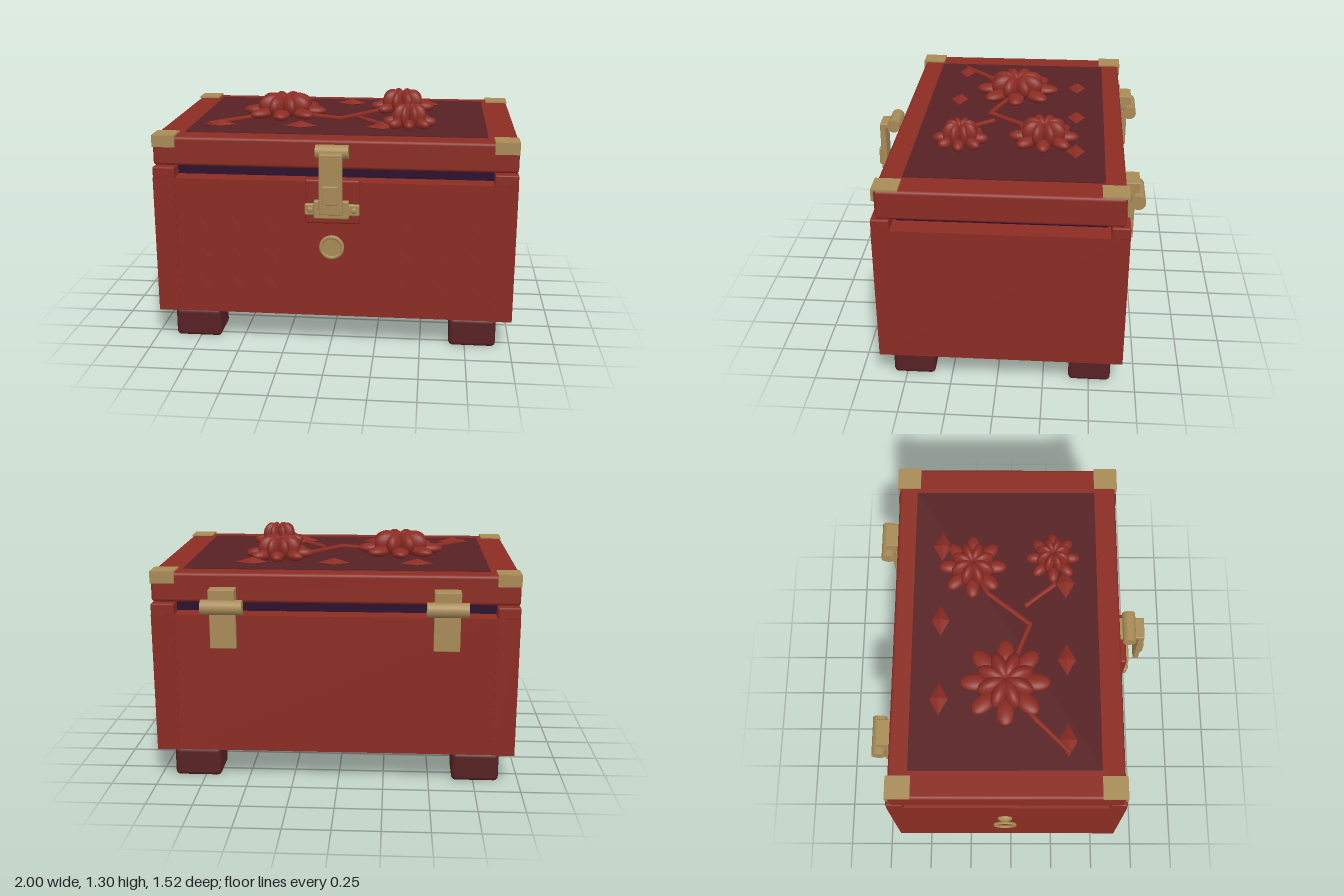
import * as THREE from 'three';
import { RoundedBoxGeometry } from 'three/addons/geometries/RoundedBoxGeometry.js';

const material = (name, color) => {
  const m = new THREE.MeshStandardMaterial({ color });
  m.name = name;
  return m;
};

export function createModel() {
  const red = material('red lacquer', 0x8b2c23);
  const dark = material('dark wood', 0x572124);
  const brass = material('brass', 0xa88b57);
  const lining = material('purple lining', 0x2b0e2d);
  const CX = 0.0175; // middle of the chest
  const CZ = -0.0225;
  const model = new THREE.Group();
  model.name = 'chest';

  const group = (name, parent = model) => {
    const g = new THREE.Group();
    g.name = name;
    parent.add(g);
    return g;
  };
  const add = (name, geometry, mat, x = 0, y = 0, z = 0, parent = model) => {
    const mesh = new THREE.Mesh(geometry, mat);
    mesh.name = name;
    mesh.position.set(x, y, z);
    parent.add(mesh);
    return mesh;
  };
  // box given by its limits on each axis, with optional rounded edges
  const box = (name, mat, [x0, x1], [y0, y1], [z0, z1], r = 0, parent = model) => {
    const s = [x1 - x0, y1 - y0, z1 - z0];
    const g = r ? new RoundedBoxGeometry(...s, 3, r) : new THREE.BoxGeometry(...s);
    return add(name, g, mat, (x0 + x1) / 2, (y0 + y1) / 2, (z0 + z1) / 2, parent);
  };
  const barrel = (name, r, length, x, y, z, parent) => {
    const m = add(name, new THREE.CylinderGeometry(r, r, length, 24), brass, x, y, z, parent);
    m.rotation.z = Math.PI / 2;
    return m;
  };

  // body
  const body = group('body');
  box('sidePanelRight', red, [-0.965, -0.845], [0.18, 0.95], [-0.675, 0.63], 0, body);
  box('sidePanelLeft', red, [0.875, 1], [0.18, 0.95], [-0.675, 0.63], 0, body);
  box('frontAndBackPanels', red, [-0.845, 0.875], [0.18, 0.95], [-0.67, 0.625], 0, body);
  box('innerLining', lining, [-0.85, 0.885], [0.9, 1.012], [-0.564, 0.52], 0, body);
  for (const [x0, x1] of [[-0.965, -0.845], [0.875, 1]])
    for (const [z0, z1] of [[-0.675, -0.58], [0.535, 0.63]])
      box('cornerCap', red, [x0, x1], [0.945, 1.01], [z0, z1], 0.008, body);

  // base and feet
  box('basePlate', dark, [-0.885, 0.915], [0.15, 0.185], [-0.58, 0.535]);
  for (const [x0, x1] of [[-0.89, -0.63], [0.66, 0.92]])
    for (const [z0, z1] of [[-0.617, -0.389], [0.344, 0.572]])
      box('foot', dark, [x0, x1], [0, 0.165], [z0, z1], 0.025);

  // lid with inset panel and brass corners
  const lid = group('lid');
  box('lidFrame', red, [-0.965, 1], [1.014, 1.175], [-0.65, 0.605], 0.018, lid);
  box('lidPanel', dark, [-0.81, 0.84], [1.15, 1.18], [-0.545, 0.483], 0, lid);
  for (const [x0, x1] of [[-0.965, -0.84], [0.87, 1]])
    for (const s of [-1, 1]) {
      const edge = CZ + s * 0.633;
      const inner = CZ + s * 0.505;
      const corner = group('cornerBracket', lid);
      box('bracketTop', brass, [x0, x1], [1.172, 1.183], [Math.min(edge, inner), Math.max(edge, inner)], 0, corner);
      box('bracketFace', brass, [x0, x1], [1.118, 1.183], [edge - 0.006, edge + 0.006], 0, corner);
    }

  // carved diamonds on the front
  const diamonds = group('diamondCarvings');
  for (const side of [-1, 1])
    for (let i = 0; i < 3; i++)
      for (let j = 0; j < 3; j++) {
        const d = add('diamond', new THREE.BoxGeometry(0.085, 0.085, 0.03), red,
          CX - 0.0025 + side * (0.37 + i * 0.185), 0.34 + j * 0.17, 0.625, diamonds);
        d.rotation.z = Math.PI / 4;
      }

  // latch
  const latch = group('latch');
  box('latchBackplate', red, [-0.13, 0.165], [0.725, 0.97], [0.61, 0.658], 0.012, latch);
  box('staplePlate', brass, [-0.08, 0.108], [0.76, 0.86], [0.65, 0.685], 0.008, latch);
  box('stapleWings', brass, [-0.13, 0.165], [0.775, 0.84], [0.65, 0.675], 0.01, latch);
  for (const s of [-1, 1]) {
    const rivet = add('rivet', new THREE.SphereGeometry(0.016, 16, 10), brass, CX + s * 0.117, 0.807, 0.675, latch);
    rivet.scale.z = 0.6;
  }
  box('haspStrap', brass, [-0.045, 0.078], [0.8, 1.125], [0.713, 0.745], 0.006, latch);
  box('haspArm', brass, [-0.045, 0.078], [1.1, 1.128], [0.6, 0.745], 0.006, latch);
  box('haspTab', brass, [-0.025, 0.058], [0.86, 0.96], [0.74, 0.762], 0.005, latch);
  barrel('haspBarrel', 0.037, 0.175, CX, 1.125, 0.66, latch);

  // keyhole cover
  const lock = group('lockCover');
  const disc = add('lockDisc', new THREE.CylinderGeometry(0.058, 0.066, 0.03, 32), brass, CX - 0.005, 0.587, 0.632, lock);
  disc.rotation.x = Math.PI / 2;
  add('lockRim', new THREE.TorusGeometry(0.058, 0.011, 10, 32), brass, CX - 0.005, 0.587, 0.642, lock);

  // hinges
  for (const x of [-0.58, 0.61]) {
    const hinge = group('hinge');
    barrel('hingeBarrel', 0.04, 0.22, x, 1.006, -0.722, hinge);
    box('upperLeaf', brass, [x - 0.07, x + 0.07], [1.01, 1.1], [-0.73, -0.645], 0.004, hinge);
    box('lowerLeaf', brass, [x - 0.07, x + 0.07], [0.775, 1], [-0.707, -0.673], 0.004, hinge);
  }

  // pull ring on the right side
  const pull = group('pullRing');
  const mount = add('ringMount', new THREE.SphereGeometry(0.042, 20, 14), brass, -0.967, 0.685, -0.033, pull);
  mount.scale.x = 0.5;
  const ring = add('ring', new THREE.TorusGeometry(0.059, 0.008, 10, 32), brass, -0.992, 0.61, -0.033, pull);
  ring.rotation.y = Math.PI / 2;

  // carved flowers: low outer petals and a domed inner crown
  const petalGeometry = new THREE.SphereGeometry(1, 18, 12);
  for (const [x, z, r] of [[-0.33, -0.03, 0.245], [0.355, -0.215, 0.19], [0.41, 0.235, 0.15]]) {
    const flower = group('flower', lid);
    flower.position.set(x, 0, z);
    for (let i = 0; i < 8; i++) {
      for (const [name, turn, dist, y, size] of [
        ['outerPetal', 0, 0.68, 1.205, [0.32 * r, 0.03, 0.2 * r]],
        ['innerPetal', 0.5, 0.32, 1.24, [0.34 * r, 0.064, 0.17 * r]],
      ]) {
        const a = ((i + turn) / 8) * Math.PI * 2;
        const p = add(name, petalGeometry, red, Math.cos(a) * dist * r, y, -Math.sin(a) * dist * r, flower);
        p.scale.set(...size);
        p.rotation.y = a;
      }
    }
  }

  // carved branches
  const branches = group('branches', lid);
  for (const path of [
    [[-0.71, 0.31], [-0.53, 0.13], [-0.33, -0.03], [-0.16, 0.035], [0.015, 0.105], [0.2, -0.13], [0.355, -0.215]],
    [[0.125, 0.08], [0.25, 0.24], [0.41, 0.235]],
  ])
    for (let i = 1; i < path.length; i++) {
      const [x0, z0] = path[i - 1];
      const [x1, z1] = path[i];
      const b = add('branch', new THREE.CylinderGeometry(0.014, 0.014, Math.hypot(x1 - x0, z1 - z0) + 0.01, 10),
        red, (x0 + x1) / 2, 1.188, (z0 + z1) / 2, branches);
      b.quaternion.setFromUnitVectors(new THREE.Vector3(0, 1, 0), new THREE.Vector3(x1 - x0, 0, z1 - z0).normalize());
    }

  // carved leaves
  const leaves = group('leaves', lid);
  for (let i = 0; i < 3; i++)
    for (const [x, z] of [[-0.42, -0.39], [-0.65, 0.305]]) {
      const leaf = add('leaf', new THREE.OctahedronGeometry(1), red, x + i * 0.455, 1.185, z, leaves);
      leaf.scale.set(0.09, 0.028, 0.05);
    }

  return model;
}
